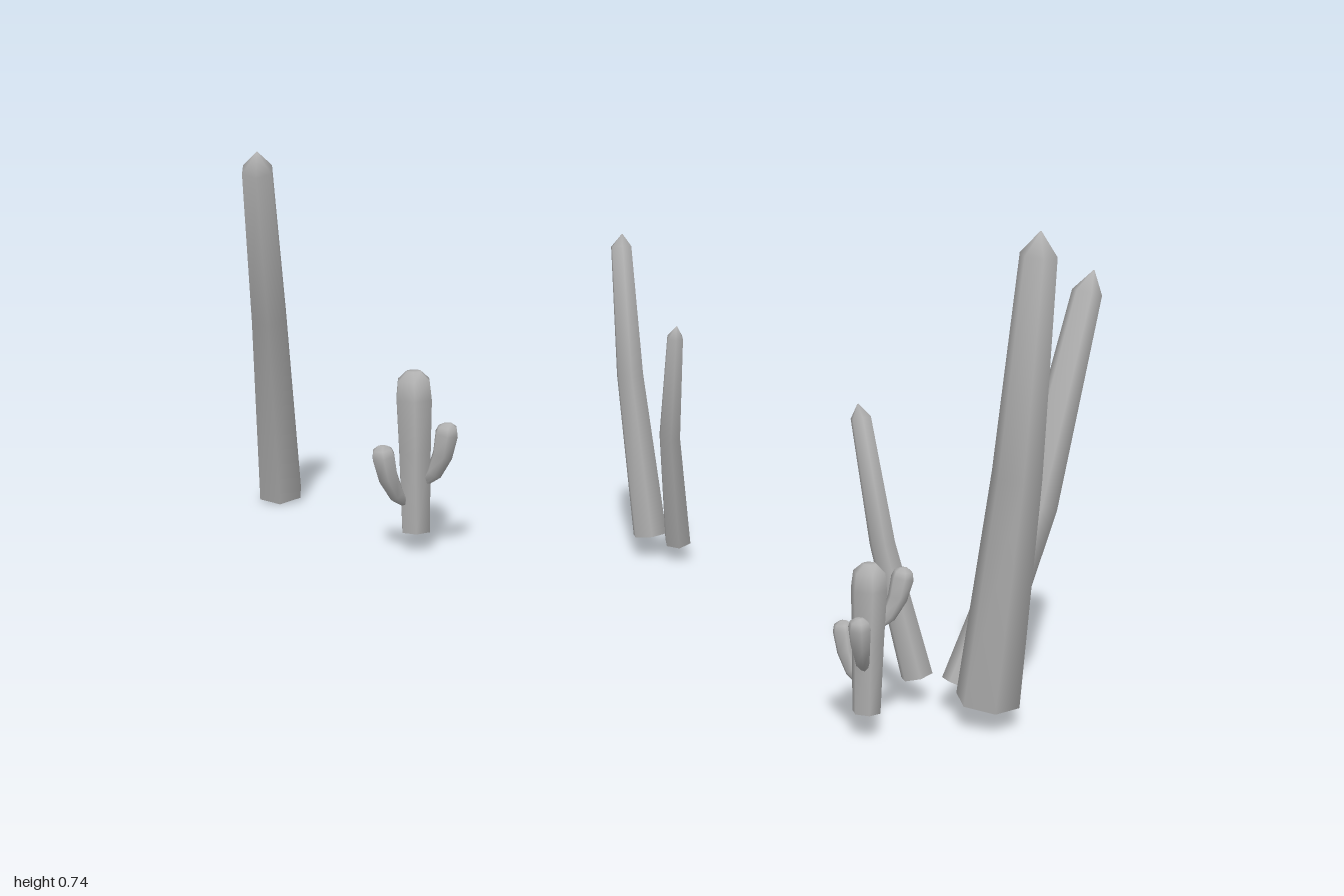
import * as THREE from 'three';
import { toCreasedNormals } from 'three/addons/utils/BufferGeometryUtils.js';

const SIDES = 6;
const stone = new THREE.MeshStandardMaterial({ color: 0xb0b0b0 });
stone.name = 'plain grey';
stone.side = THREE.DoubleSide;

// Six-sided tube through [x, y, z, radius] stations, closed at both ends.
function loft(name, stations) {
  const pts = stations.map(([x, y, z]) => new THREE.Vector3(x, y, z));
  const pos = [];
  const index = [];
  const last = pts.length - 1;
  pts.forEach((p, i) => {
    const dir = pts[Math.min(i + 1, last)].clone().sub(pts[Math.max(i - 1, 0)]).normalize();
    const u = new THREE.Vector3(1, 0, 0).addScaledVector(dir, -dir.x).normalize();
    const v = new THREE.Vector3().crossVectors(u, dir);
    for (let k = 0; k < SIDES; k++) {
      const a = (k / SIDES) * Math.PI * 2;
      const q = p.clone()
        .addScaledVector(u, Math.cos(a) * stations[i][3])
        .addScaledVector(v, Math.sin(a) * stations[i][3]);
      pos.push(q.x, q.y, q.z);
    }
  });
  for (let i = 0; i < last; i++) {
    for (let k = 0; k < SIDES; k++) {
      const a = i * SIDES + k;
      const b = i * SIDES + ((k + 1) % SIDES);
      index.push(a, a + SIDES, b);
      index.push(b, a + SIDES, b + SIDES);
    }
  }
  // End caps
  const top = last * SIDES;
  for (let k = 1; k < SIDES - 1; k++) {
    index.push(0, k, k + 1);
    index.push(top, top + k + 1, top + k);
  }
  const geo = new THREE.BufferGeometry();
  geo.setAttribute('position', new THREE.Float32BufferAttribute(pos, 3));
  geo.setIndex(index);
  const mesh = new THREE.Mesh(toCreasedNormals(geo, 1.2), stone);
  mesh.name = name;
  return mesh;
}

// Pointed stalk: base, bend and shoulder stations, then the tip position.
function stalk(name, base, bend, shoulder, tip) {
  return loft(name, [base, bend, shoulder, [...tip, 0.0008]]);
}

// Branching cactus: a trunk and three upturned arms at stepped heights.
function cactus(name, x, y, z, scale, turn) {
  const g = new THREE.Group();
  g.name = name;
  g.add(loft('trunk', [
    [0, 0, 0, 0.029], [0, 0.15, 0, 0.033], [0, 0.25, 0, 0.037],
    [0, 0.285, 0, 0.033], [0, 0.302, 0, 0.014],
  ]));
  [0.29, 0.21, 0.17].forEach((top, i) => {
    const a = turn + (i * Math.PI * 2) / 3;
    const c = Math.cos(a);
    const s = Math.sin(a);
    // radial distance, height below the arm's top, thickness
    const arm = [
      [0.022, -0.115, 0.007], [0.04, -0.096, 0.015], [0.058, -0.06, 0.02],
      [0.067, -0.02, 0.023], [0.069, -0.007, 0.019], [0.069, 0, 0.008],
    ];
    g.add(loft('arm', arm.map(([r, h, t]) => [r * c, top + h, r * s, t])));
  });
  g.position.set(x, y, z);
  g.scale.setScalar(scale);
  return g;
}

export function createModel() {
  const model = new THREE.Group();
  model.name = 'cactusField';

  // Lone leaning stalk at the back
  model.add(stalk('backStalk', [-0.113, 0.017, -0.957, 0.046], [-0.178, 0.395, -0.866, 0.037],
    [-0.26, 0.695, -0.745, 0.031], [-0.268, 0.73, -0.728]));

  // Pair in the middle
  const pair = new THREE.Group();
  pair.name = 'middlePair';
  pair.add(
    stalk('tallStalk', [0.226, 0.045, -0.175, 0.033], [0.204, 0.34, -0.208, 0.026],
      [0.202, 0.572, -0.233, 0.02], [0.207, 0.594, -0.237]),
    stalk('shortStalk', [0.252, 0.038, -0.125, 0.025], [0.194, 0.25, -0.075, 0.02],
      [0.172, 0.437, -0.032, 0.015], [0.17, 0.458, -0.025]),
  );
  model.add(pair);

  // Cluster of three at the front
  const cluster = new THREE.Group();
  cluster.name = 'frontCluster';
  cluster.add(
    stalk('tallStalk', [0.053, 0.041, 0.882, 0.048], [0.048, 0.39, 0.932, 0.037],
      [0.04, 0.712, 0.968, 0.027], [0.037, 0.746, 0.974]),
    stalk('leaningStalk', [0.07, 0.042, 0.823, 0.042], [0.181, 0.31, 0.841, 0.033],
      [0.268, 0.622, 0.846, 0.023], [0.277, 0.655, 0.85]),
    stalk('shortStalk', [0.038, 0.047, 0.746, 0.025], [-0.003, 0.25, 0.708, 0.02],
      [-0.019, 0.438, 0.672, 0.016], [-0.02, 0.458, 0.666]),
  );
  model.add(cluster);

  // Branching cacti
  model.add(cactus('largeCactus', -0.096, 0.038, -0.469, 1, -1.04));
  model.add(cactus('smallCactus', -0.126, 0.041, 0.817, 0.735, 0.46));
  return model;
}
